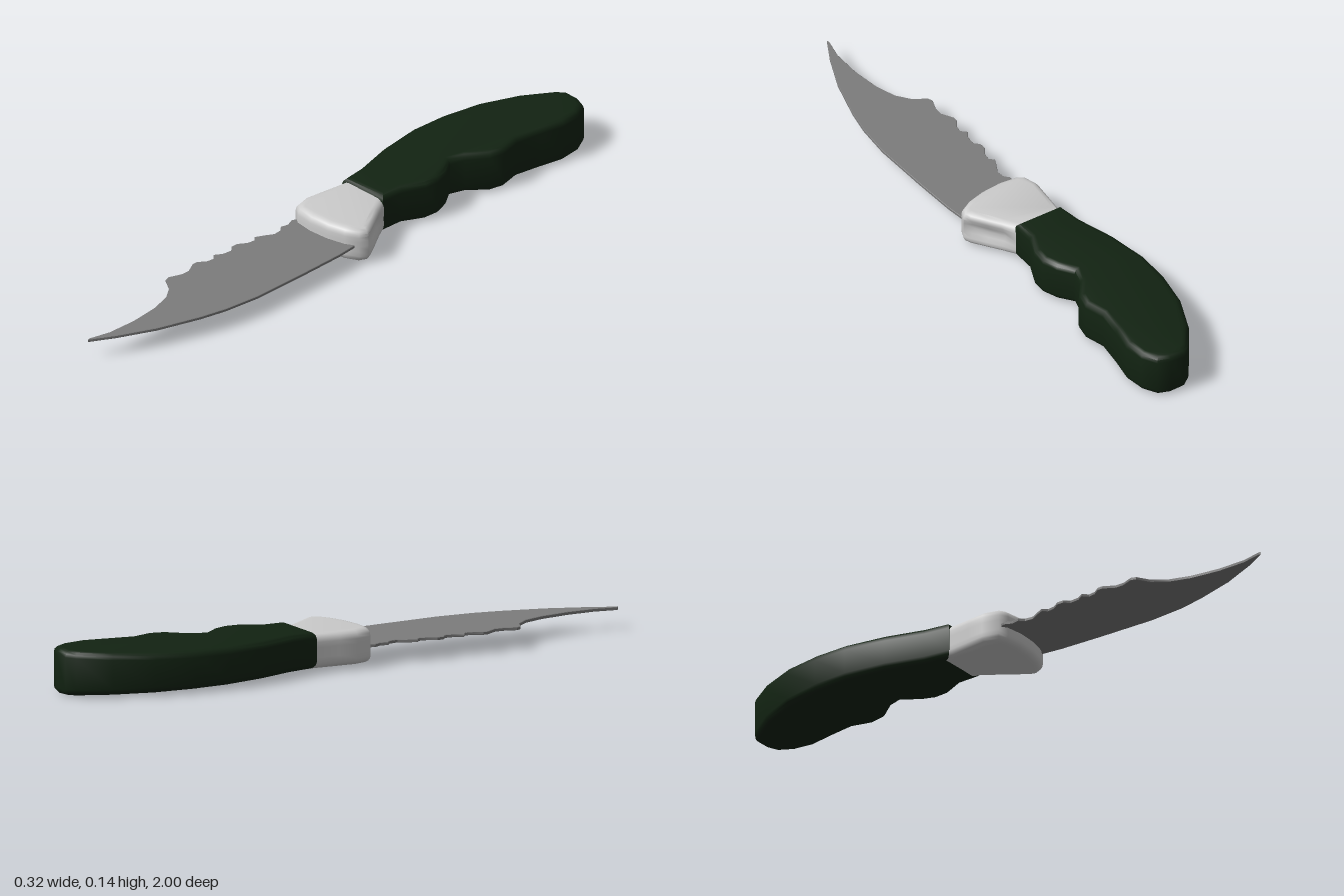
import * as THREE from 'three';
import { toCreasedNormals } from 'three/addons/utils/BufferGeometryUtils.js';

// Extrudes a plan outline of [x, z] points upwards from y = bottom to y = top, with rounded rims.
function slab(outline, bottom, top, bevel, segments, steps = 1) {
  const shape = new THREE.Shape(outline.map(([x, z]) => new THREE.Vector2(x, -z)));
  const geometry = new THREE.ExtrudeGeometry(shape, {
    depth: top - bottom - 2 * bevel, steps,
    bevelEnabled: true, bevelThickness: bevel, bevelSize: bevel, bevelOffset: -bevel, bevelSegments: segments,
  });
  geometry.rotateX(-Math.PI / 2);
  geometry.translate(0, bottom + bevel, 0);
  return geometry;
}

// Moves every vertex by a rule.
function warp(geometry, rule) {
  const p = geometry.attributes.position;
  const v = new THREE.Vector3();
  for (let i = 0; i < p.count; i++) {
    rule(v.fromBufferAttribute(p, i));
    p.setXYZ(i, v.x, v.y, v.z);
  }
  return geometry;
}

function part(name, geometry, color, crease) {
  const mesh = new THREE.Mesh(toCreasedNormals(geometry, crease), new THREE.MeshStandardMaterial({ color }));
  mesh.name = name;
  return mesh;
}

export function createModel() {
  const group = new THREE.Group();
  group.name = 'knife';

  // Curved grip with finger grooves, thicker towards the butt and the grooved edge
  const gripOutline = [
    [0.06, -0.16], [0.065, -0.24], [0.1, -0.31], [0.105, -0.36], [0.09, -0.41], [0.058, -0.46],
    [0.075, -0.51], [0.125, -0.57], [0.137, -0.62], [0.123, -0.69], [0.14, -0.78], [0.16, -0.86],
    [0.155, -0.93], [0.13, -0.98], [0.09, -0.997], [0.04, -1], [0.01, -0.98], [-0.06, -0.89], [-0.12, -0.77],
    [-0.153, -0.64], [-0.165, -0.52], [-0.152, -0.38], [-0.122, -0.25], [-0.115, -0.16],
  ];
  const grip = warp(slab(gripOutline, -1, 1, 0.02, 3), (v) => {
    // Rims keep their roundness; the flat middle is rescaled to the local half thickness
    const half = Math.min(0.0725, 0.066 + 0.04 * v.x + 0.008 * (-v.z - 0.6));
    v.y = 0.0725 + Math.sign(v.y) * (half - (1 - Math.abs(v.y)));
  });
  group.add(part('grip', grip, 0x122312, 0.75));

  // Flared guard, grooved along its wide side
  const guardOutline = [
    [0.055, -0.2], [0.06, -0.165], [0.085, -0.12], [0.112, -0.075], [0.138, -0.03], [0.145, -0.008], [0.132, 0.02],
    [0.09, 0.042], [0.03, 0.056], [-0.04, 0.06], [-0.1, 0.052], [-0.126, 0.035], [-0.137, -0.02],
    [-0.127, -0.08], [-0.115, -0.15], [-0.11, -0.2],
  ];
  const guard = warp(slab(guardOutline, 0.006, 0.122, 0.025, 4, 4), (v) => {
    if (v.x > 0.07 && v.z < -0.02 && v.z > -0.15) v.x -= 0.02 * Math.max(0, 1 - Math.abs(v.y - 0.064) / 0.045);
    if (v.y < 0.06) v.y -= 0.03 * (v.x - 0.1) * (0.06 - v.y) / 0.054;
  });
  group.add(part('guard', guard, 0xcccccc, 1.0));

  // Thin blade with a swept point and a toothed back
  const bladeOutline = [
    [0.118, 0], [0.123, 0.1], [0.12, 0.25], [0.112, 0.45], [0.094, 0.57], [0.07, 0.66], [0.02, 0.8],
    [-0.04, 0.92], [-0.087, 0.997], [-0.09, 0.99], [-0.07, 0.92], [-0.063, 0.82], [-0.07, 0.72], [-0.088, 0.65],
    [-0.12, 0.602], [-0.16, 0.577], [-0.165, 0.56], [-0.148, 0.52], [-0.146, 0.49], [-0.165, 0.452],
    [-0.164, 0.435], [-0.145, 0.41], [-0.14, 0.385], [-0.156, 0.368], [-0.14, 0.345], [-0.135, 0.312],
    [-0.15, 0.295], [-0.149, 0.272], [-0.13, 0.245], [-0.125, 0.22], [-0.138, 0.205], [-0.125, 0.18],
    [-0.107, 0.15], [-0.108, 0.122], [-0.122, 0.105], [-0.115, 0.08], [-0.125, 0.055], [-0.105, 0],
  ];
  group.add(part('blade', slab(bladeOutline, 0.059, 0.069, 0.0015, 1), 0x7c7c7c, 0.5));

  return group;
}
